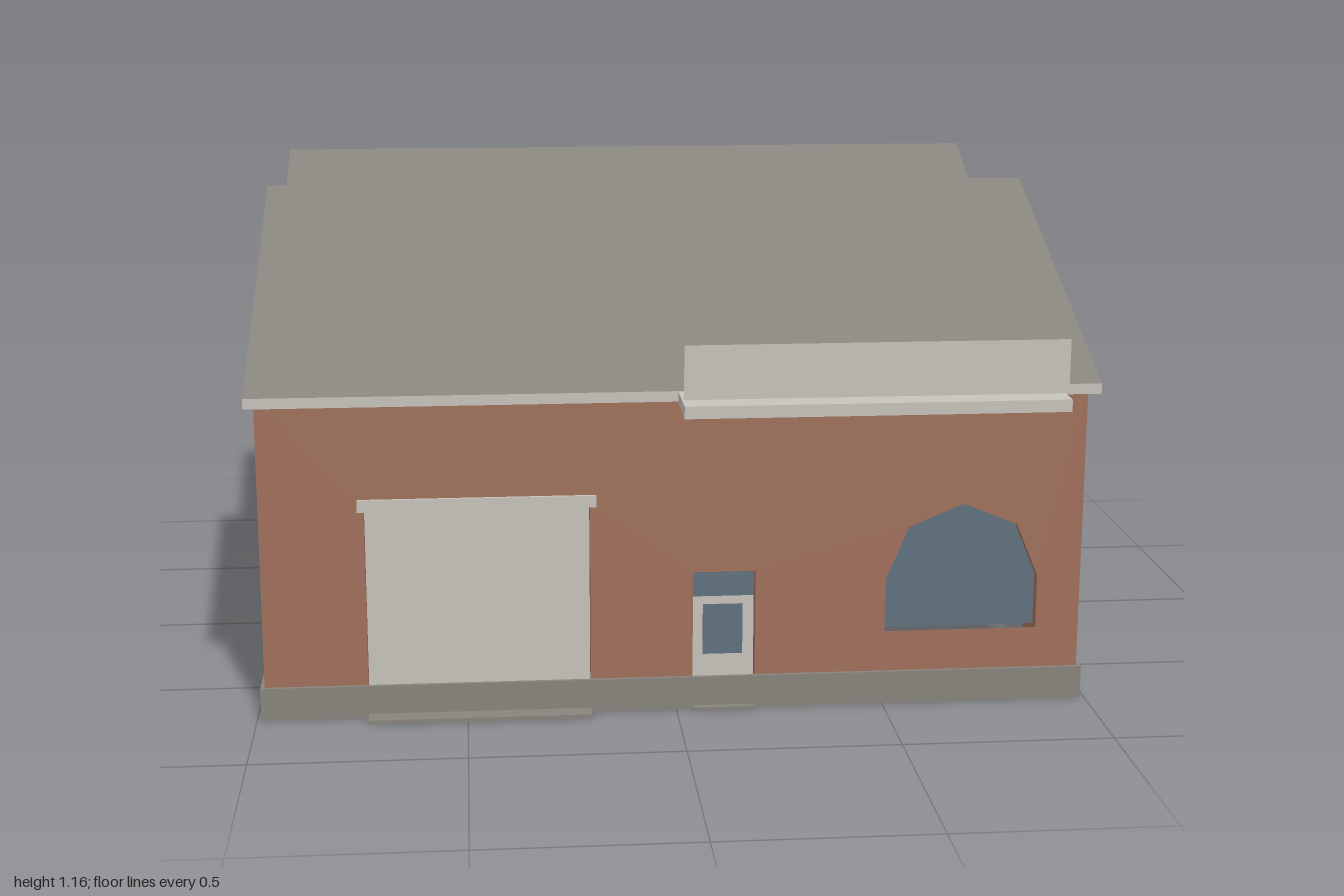
import * as THREE from 'three';

const mat = (name, color, side = THREE.DoubleSide) => {
  const m = new THREE.MeshStandardMaterial({ color, side });
  m.name = name;
  return m;
};

export function createModel() {
  const brick = mat('brick', 0xa0705b);
  const concrete = mat('concrete grey', 0x87847d);
  const trim = mat('light trim', 0xc6c2bb);
  const glass = mat('blue glass', 0x60717f);

  const INSET = 0.03;
  const model = new THREE.Group();
  model.name = 'sawtoothWarehouse';

  const add = (parent, name, geo, material, x = 0, y = 0, z = 0) => {
    const mesh = new THREE.Mesh(geo, material);
    mesh.name = name;
    mesh.position.set(x, y, z);
    parent.add(mesh);
    return mesh;
  };
  // Box given by its minimum and maximum corners
  const block = (parent, name, material, a, b) => add(parent, name,
    new THREE.BoxGeometry(b[0] - a[0], b[1] - a[1], b[2] - a[2]), material,
    (a[0] + b[0]) / 2, (a[1] + b[1]) / 2, (a[2] + b[2]) / 2);

  const toShape = pts => new THREE.Shape(pts.map(p => new THREE.Vector2(p[0], p[1])));

  // Outline of an arched window, from left sill over the arch to right sill
  const arch = (cx, sill, spring, r) => {
    const pts = [[cx - r, sill]];
    for (let i = 0; i <= 4; i++) {
      const t = Math.PI * (1 - i / 4);
      pts.push([cx + r * Math.cos(t), spring + r * Math.sin(t)]);
    }
    pts.push([cx + r, sill]);
    return pts;
  };
  const rect = (x0, x1, y0, y1) => [[x0, y0], [x0, y1], [x1, y1], [x1, y0]];

  // Sides and head of a recess, open at the sill
  const reveal = pts => {
    const pos = [], idx = [];
    pts.forEach(([x, y], i) => {
      if (i === pts.length - 1) return;
      const [x2, y2] = pts[i + 1], k = pos.length / 3;
      pos.push(x, y, 0, x2, y2, 0, x2, y2, -INSET, x, y, -INSET);
      idx.push(k, k + 1, k + 2, k, k + 2, k + 3);
    });
    const g = new THREE.BufferGeometry();
    g.setAttribute('position', new THREE.Float32BufferAttribute(pos, 3));
    g.setIndex(idx);
    g.computeVertexNormals();
    return g;
  };

  // Wall sheet facing local +z, with arched windows and optional door notches
  const wall = (name, outline, windows, doors = []) => {
    const group = new THREE.Group();
    group.name = name;
    const shape = toShape(outline);
    for (const w of windows) {
      shape.holes.push(new THREE.Path(w.map(p => new THREE.Vector2(p[0], p[1]))));
      add(group, 'windowPane', new THREE.ShapeGeometry(toShape(w)), glass, 0, 0, -INSET);
    }
    for (const o of [...windows, ...doors]) add(group, 'reveal', reveal(o), brick);
    add(group, 'brickwork', new THREE.ShapeGeometry(shape), brick);
    model.add(group);
    return group;
  };

  const X = 0.98, ZF = 0.72, ZB = -0.88, ZM = -0.08;
  const LOW = 0.788, HIGH = 1.122, VALLEY = 0.783;

  // Front wall with loading bay, entrance and one window
  const bay = rect(-0.735, -0.205, 0, 0.51);
  const entry = rect(0.04, 0.19, 0, 0.34);
  const front = wall('frontWall',
    [[-X, 0], ...bay, ...entry, [X, 0], [X, LOW], [-X, LOW]],
    [arch(0.69, 0.18, 0.31, 0.185)], [bay, entry]);
  front.position.z = ZF;

  // Back wall with three windows
  const back = wall('backWall', [[-X, 0], [X, 0], [X, HIGH], [-X, HIGH]],
    [-0.523, 0, 0.523].map(c => arch(c, 0.2, 0.405, 0.183)));
  back.position.z = ZB;
  back.rotation.y = Math.PI;

  // Mirrored sawtooth side walls
  for (const s of [1, -1]) {
    const profile = [[ZF, 0], [ZF, LOW], [ZM, HIGH], [ZM, VALLEY], [ZB, HIGH], [ZB, 0]];
    const side = wall(s > 0 ? 'leftWall' : 'rightWall',
      profile.map(([z, y]) => [-s * z, y]),
      [0.227, -0.383].map(z => arch(-s * z, 0.2, 0.405, 0.183)));
    side.position.x = s * X;
    side.rotation.y = s * Math.PI / 2;
  }

  // Upright wall between the two roofs
  const step = add(model, 'sawtoothWall', new THREE.PlaneGeometry(2 * X, HIGH - VALLEY), brick,
    0, (HIGH + VALLEY) / 2, ZM);
  step.rotation.y = Math.PI;

  // Sloping roof slabs: sheared boxes with light edges
  const roof = (name, z0, z1) => {
    const len = z1 - z0, slope = 0.422;
    const g = new THREE.BoxGeometry(2, 0.025, len).toNonIndexed();
    const p = g.attributes.position;
    for (let i = 0; i < p.count; i++) p.setY(i, p.getY(i) - p.getZ(i) * slope);
    g.computeVertexNormals();
    add(model, name, g, [trim, trim, concrete, concrete, trim, trim],
      0, 0.966, (z0 + z1) / 2);
  };
  roof('frontRoof', -0.113, 0.763);
  roof('backRoof', -0.916, -0.046);

  // Plinth band around the foot of the walls
  const band = toShape([[-0.99, -0.73], [0.99, -0.73], [0.99, 0.89], [-0.99, 0.89]]);
  band.holes.push(new THREE.Path([[-0.981, -0.721], [-0.981, 0.881], [0.981, 0.881], [0.981, -0.721]]
    .map(p => new THREE.Vector2(p[0], p[1]))));
  const plinth = new THREE.ExtrudeGeometry(band, { depth: 0.08, bevelEnabled: false });
  plinth.rotateX(-Math.PI / 2);
  add(model, 'plinth', plinth, concrete);

  // Loading bay door, lintel and ramp
  const zi = ZF - INSET;
  block(model, 'loadingDoor', trim, [-0.735, 0.01, zi - 0.004], [-0.205, 0.51, zi]);
  block(model, 'loadingLintel', trim, [-0.75, 0.508, ZF - 0.002], [-0.19, 0.537, 0.728]);
  block(model, 'loadingRamp', concrete, [-0.735, 0, zi - 0.004], [-0.205, 0.01, 0.775]);

  // Entrance door with glazed panel, transom and threshold
  block(model, 'entranceDoor', trim, [0.04, 0.008, zi - 0.004], [0.19, 0.27, zi]);
  block(model, 'doorGlass', glass, [0.067, 0.125, zi - 0.007], [0.163, 0.25, zi + 0.003]);
  block(model, 'transom', glass, [0.04, 0.27, zi - 0.004], [0.19, 0.34, zi]);
  block(model, 'transomPane', glass, [0.048, 0.28, zi], [0.182, 0.325, zi + 0.004]);
  block(model, 'threshold', concrete, [0.04, 0, zi - 0.004], [0.19, 0.008, 0.745]);

  // Entrance canopy with a blank upright board
  block(model, 'canopy', trim, [0, 0.763, ZF], [0.89, 0.792, 0.915]);
  add(model, 'canopyBoard', new THREE.PlaneGeometry(0.885, 0.126), trim, 0.4425, 0.867, 0.9);

  return model;
}
